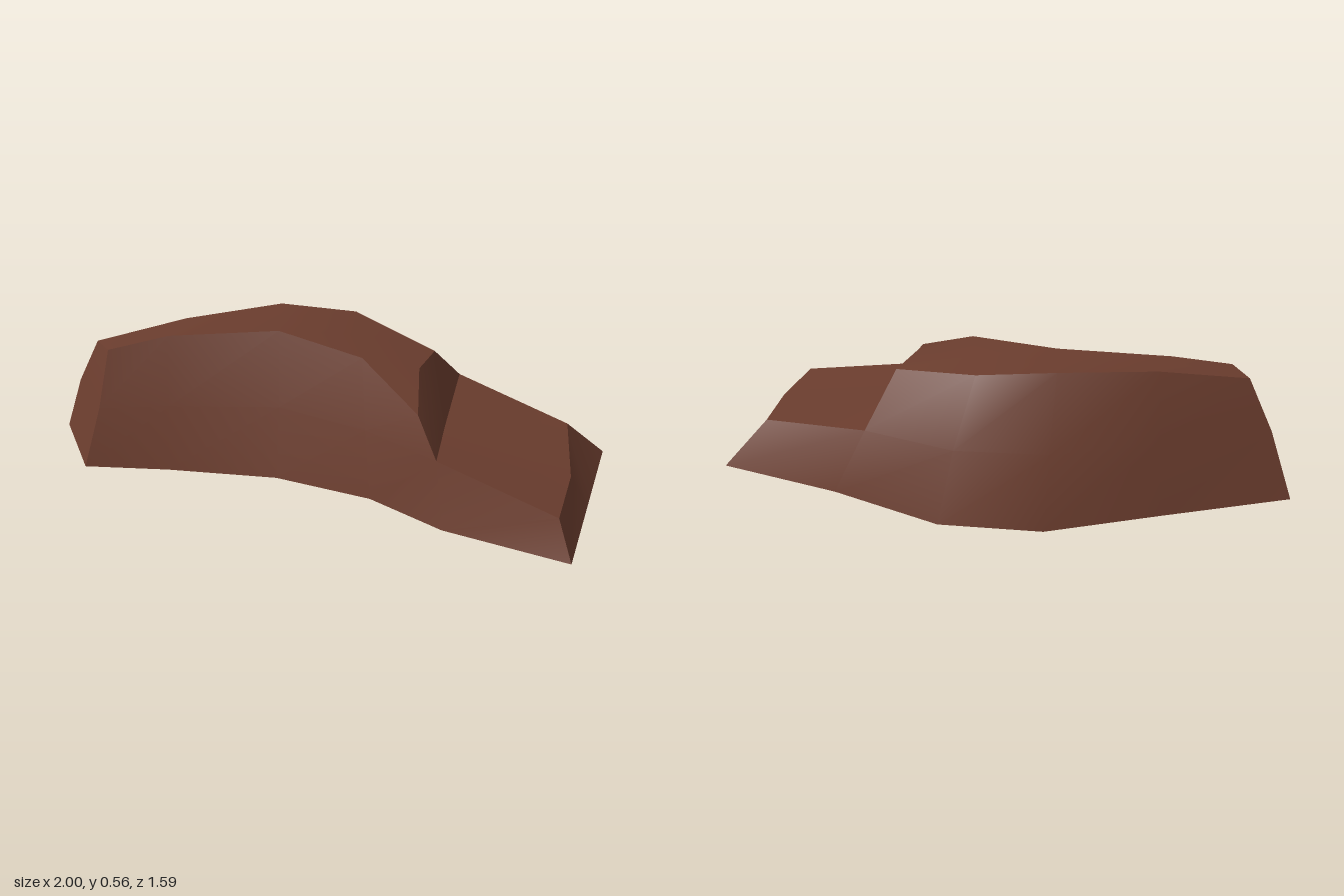
import * as THREE from 'three';

// Smooth surface patch; rows run bottom to top, points left to right as seen from outside.
function patch(rows) {
  const positions = [], index = [], ids = [];
  rows.forEach((row, i) => {
    ids[i] = row.map((p) => {
      if (!p) return -1;
      positions.push(...p);
      return positions.length / 3 - 1;
    });
  });
  for (let i = 0; i < ids.length - 1; i++) {
    for (let j = 0; j < ids[i].length - 1; j++) {
      const a = ids[i][j], b = ids[i][j + 1], c = ids[i + 1][j + 1], d = ids[i + 1][j];
      if (Math.min(a, b, c, d) < 0) continue;
      index.push(a, b, c, a, c, d);
    }
  }
  const geometry = new THREE.BufferGeometry();
  geometry.setAttribute('position', new THREE.Float32BufferAttribute(positions, 3));
  geometry.setIndex(index);
  geometry.computeVertexNormals();
  return geometry;
}

const mid = (a, b) => a.map((v, i) => (v + b[i]) / 2);

export function createModel() {
  const group = new THREE.Group();
  group.name = 'curvedRockWall';
  const rock = new THREE.MeshStandardMaterial({ color: 0x6b3d2e, side: THREE.DoubleSide });
  rock.name = 'reddish brown rock';

  // Six stations along the arc: foot, waist and crest of each side.
  const frontFoot = [[-0.72, 0, 0.79], [-0.47, 0, 0.56], [-0.13, 0, 0.28], [0.22, 0, 0.1], [0.54, 0, 0.03], [1, 0, -0.18]];
  const frontWaist = [[-0.685, 0.27, 0.71], [-0.495, 0.28, 0.51], [-0.18, 0.29, 0.21], [0.15, 0.28, 0.06], [0.46, 0.27, -0.01], [0.9, 0.145, -0.21]];
  const frontCrest = [[-0.71, 0.495, 0.62], [-0.57, 0.54, 0.43], [-0.27, 0.565, 0.12], [0.06, 0.54, -0.01], [0.34, 0.41, -0.03]];
  const backFoot = [[-1, 0, 0.68], [-0.74, 0, 0.22], [-0.52, 0, -0.18], [-0.22, 0, -0.44], [0.22, 0, -0.59], [0.67, 0, -0.8]];
  const backWaist = [[-0.9, 0.27, 0.65], [-0.69, 0.28, 0.25], [-0.48, 0.29, -0.12], [-0.21, 0.28, -0.35], [0.14, 0.27, -0.49], [0.59, 0.185, -0.64]];
  const backCrest = [[-0.81, 0.48, 0.6], [-0.62, 0.54, 0.3], [-0.41, 0.565, -0.02], [-0.19, 0.54, -0.22], [0.15, 0.47, -0.32]];

  // Middle line of the top, and the middle points of the step and the low end
  const topMiddle = frontCrest.map((p, i) => mid(p, backCrest[i]));
  topMiddle[4] = [0.2, 0.48, -0.18];
  const stepMiddle = [0.33, 0.27, -0.2];
  const endMiddle = [0.78, 0.145, -0.43];

  const parts = {
    frontWall: [frontFoot, frontWaist, [...frontCrest, null]],
    backWall: [backFoot, backWaist, [...backCrest, null]].map((row) => [...row].reverse()),
    topSurface: [frontCrest, topMiddle, backCrest],
    highEnd: [
      [backFoot[0], frontFoot[0]],
      [backWaist[0], frontWaist[0]],
      [backCrest[0], frontCrest[0]],
    ],
    stepFace: [
      [frontWaist[4], stepMiddle, backWaist[4]],
      [frontCrest[4], topMiddle[4], backCrest[4]],
    ],
    lowerLedge: [
      [frontWaist[4], frontWaist[5]],
      [stepMiddle, endMiddle],
      [backWaist[4], backWaist[5]],
    ],
    lowEnd: [
      [frontFoot[5], mid(frontFoot[5], backFoot[5]), backFoot[5]],
      [frontWaist[5], endMiddle, backWaist[5]],
    ],
  };

  // The underside stays open
  for (const [name, rows] of Object.entries(parts)) {
    const mesh = new THREE.Mesh(patch(rows), rock);
    mesh.name = name;
    group.add(mesh);
  }
  return group;
}
